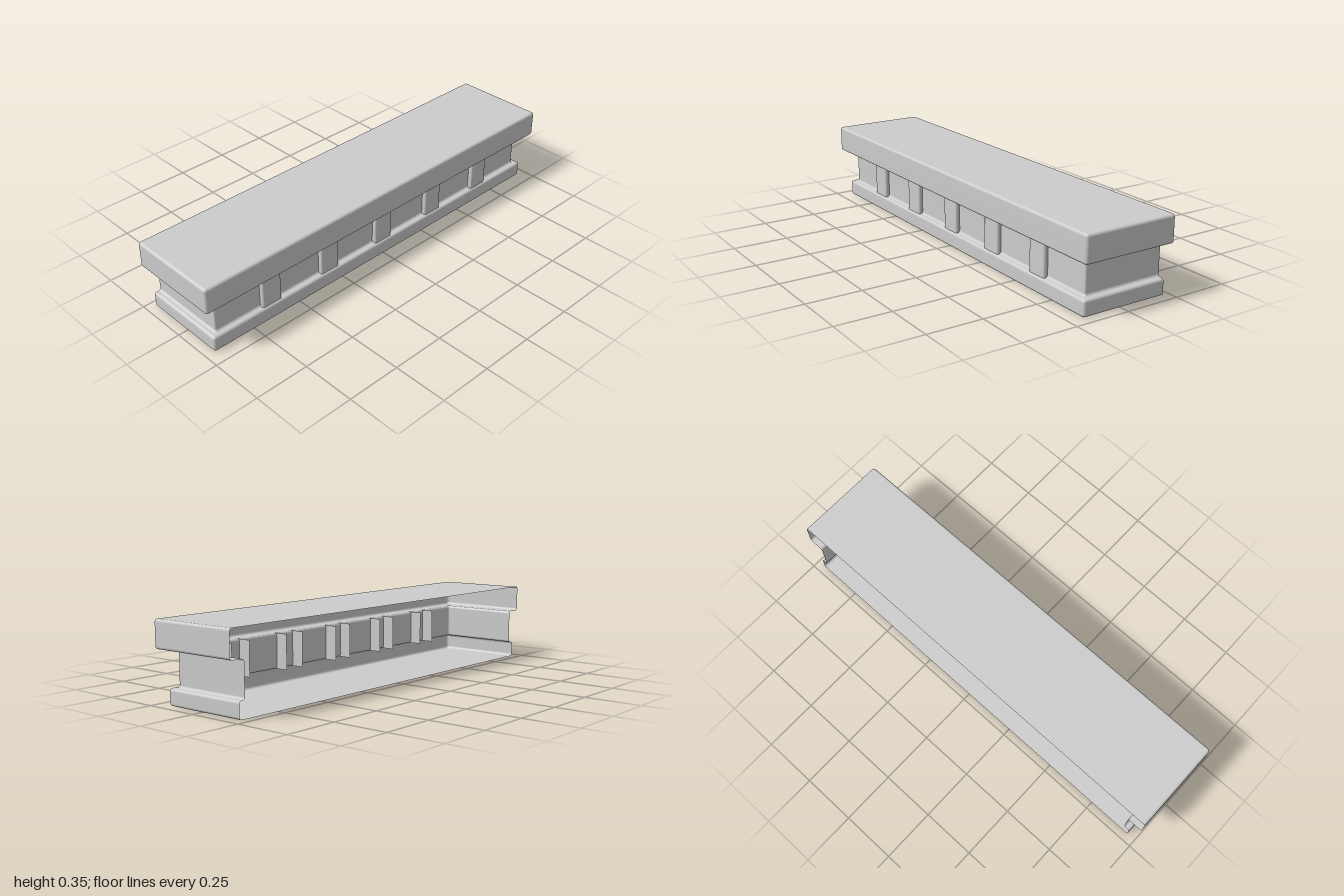
import * as THREE from 'three';

const BACK = -0.215;
const STEPS = 5; // segments per rounded edge
const material = new THREE.MeshStandardMaterial({ color: 0xcccccc, side: THREE.DoubleSide });

// U-shaped outline, open at the back: left side, rounded corner, front, rounded corner, right side
function outline(halfWidth, front, radius, back) {
  const pts = [[-halfWidth, back]];
  for (const side of [-1, 1]) {
    for (let k = 0; k <= STEPS; k++) {
      const t = (side < 0 ? k : STEPS - k) / STEPS * Math.PI / 2;
      pts.push([
        side * (halfWidth - radius + radius * Math.cos(t)),
        front - radius + radius * Math.sin(t),
      ]);
    }
  }
  pts.push([halfWidth, back]);
  return pts;
}

// Skin a stack of rows, each a list of [x, y, z] points of equal length
function skin(rows) {
  const n = rows[0].length, index = [];
  for (let j = 0; j < rows.length - 1; j++) {
    for (let i = 0; i < n - 1; i++) {
      const a = j * n + i, b = a + 1, c = a + n, d = c + 1;
      index.push(a, b, d, a, d, c);
    }
  }
  const geometry = new THREE.BufferGeometry();
  geometry.setAttribute('position', new THREE.Float32BufferAttribute(rows.flat(2), 3));
  geometry.setIndex(index);
  geometry.computeVertexNormals();
  return geometry;
}

function addMesh(group, name, geometry) {
  const mesh = new THREE.Mesh(geometry, material);
  mesh.name = name;
  group.add(mesh);
  return mesh;
}

export function createModel() {
  const group = new THREE.Group();
  group.name = 'corniceLedge';

  const rows = [];
  const level = (band, inset, y) => rows.push(
    outline(band.w - inset, band.z - inset, band.r - inset, BACK).map(([x, z]) => [x, y, z]));
  const flat = (y) => rows.push(rows[rows.length - 1].map(([x]) => [x, y, BACK]));

  // A band with rounded (sign 1) or flared (sign -1) lower and upper edges
  function addBand(band, y0, y1, e, sign) {
    for (const upper of [false, true]) {
      for (let k = 0; k <= STEPS; k++) {
        const t = (upper ? k : STEPS - k) / STEPS * Math.PI / 2;
        const inset = sign * e * (1 - Math.cos(t));
        const dy = e * (1 - Math.sin(t));
        level(band, inset, upper ? y1 - dy : y0 + dy);
      }
    }
  }

  // Continuous shell: base, recessed wall with flared edges, overhanging cap
  const base = { w: 0.958, z: 0.187, r: 0.0125 };
  const wall = { w: 0.928, z: 0.159, r: 0.008 };
  const cap = { w: 1.0, z: 0.217, r: 0.0125 };
  addBand(base, 0, 0.073, 0.012, 1);
  addBand(wall, 0.073, 0.231, 0.012, -1);
  addBand(cap, 0.231, 0.352, 0.012, 1);
  flat(0.352); // top plate
  const underside = rows[0].map(([x, y]) => [x, y, BACK]);
  rows.unshift(underside); // bottom plate
  // Reverse rounding order is handled per band: lower edges open outward, upper edges close inward
  addMesh(group, 'ledgeShell', skin(rows));

  // Row of hollow brackets whose sides run through the wall
  const bracketOutline = outline(0.05, 0.179, 0.009, 0.1);
  const bracketGeometry = skin([0.073, 0.231].map((y) => bracketOutline.map(([x, z]) => [x, y, z])));
  for (let i = -2; i <= 2; i++) {
    addMesh(group, 'bracket', bracketGeometry).position.x = i * 0.323;
  }
  return group;
}
